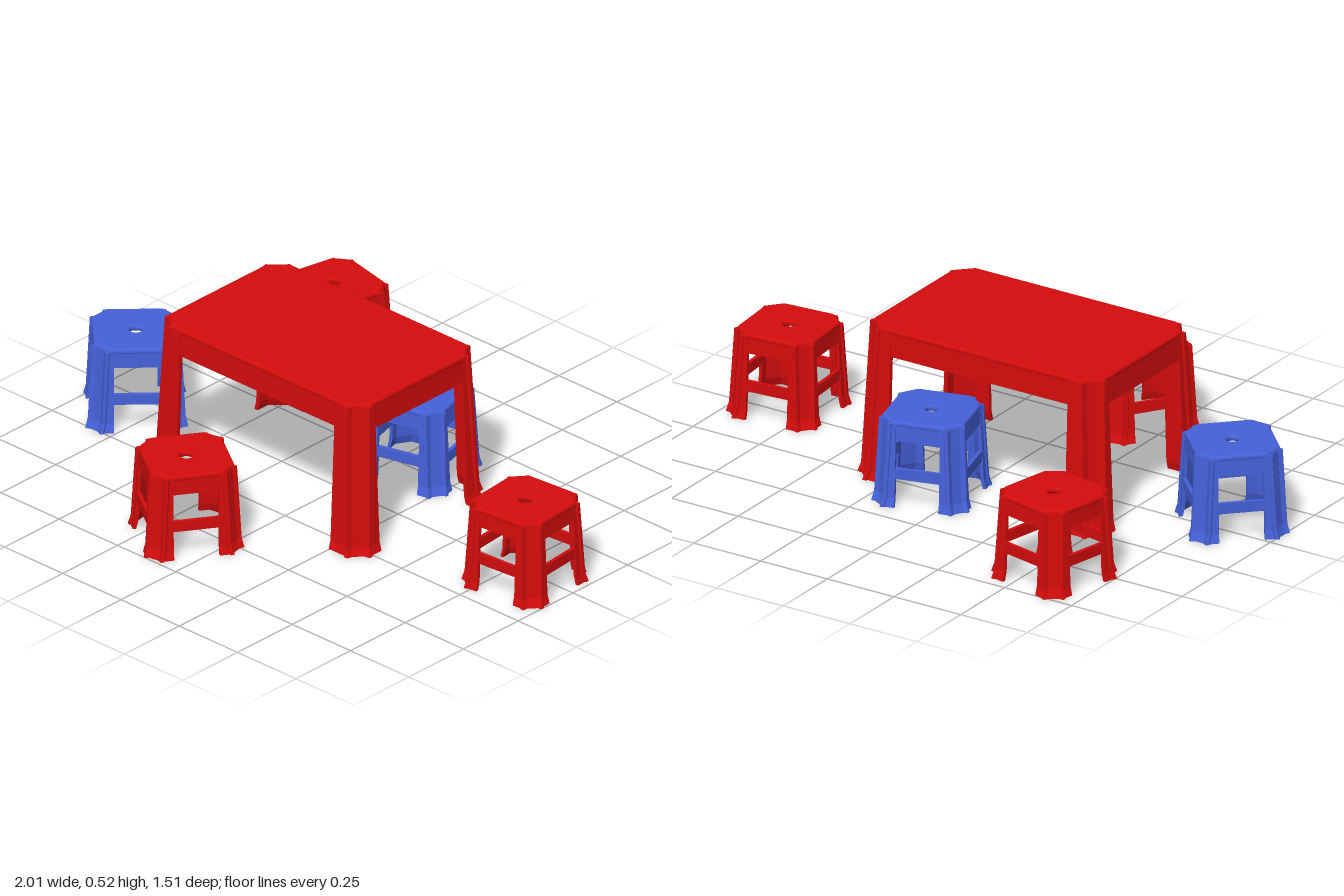
import * as THREE from 'three';

const red = new THREE.MeshStandardMaterial({ color: 0xd40c0c });
red.name = 'red plastic';
const blue = new THREE.MeshStandardMaterial({ color: 0x4561d9 });
blue.name = 'blue plastic';

const toShape = (pts) => new THREE.Shape(pts.map(([x, y]) => new THREE.Vector2(x, y)));

// Rectangle with clipped corners
function clipped(ax, az, c) {
  return [[ax, az - c], [ax - c, az], [c - ax, az], [-ax, az - c],
    [-ax, c - az], [c - ax, -az], [ax - c, -az], [ax, c - az]];
}

// Extrude a plan outline upward from y0 to y1
function rise(shape, y0, y1, steps = 1) {
  const g = new THREE.ExtrudeGeometry(shape, { depth: y1 - y0, steps, bevelEnabled: false });
  return g.rotateX(-Math.PI / 2).translate(0, y0, 0);
}

// Lean the outer faces outward towards the floor, with a small kick at the foot
function flare(g, s) {
  const p = g.attributes.position;
  for (let i = 0; i < p.count; i++) {
    const x = p.getX(i), y = p.getY(i), z = p.getZ(i);
    const out = s.flare * (1 - y / s.h) + s.kick * Math.max(0, 1 - y / 0.03);
    if (Math.abs(x) > s.ax - s.wx * 0.95) p.setX(i, x + Math.sign(x) * out);
    if (Math.abs(z) > s.az - s.wz * 0.95) p.setZ(i, z + Math.sign(z) * out);
  }
  g.computeVertexNormals();
  return g;
}

// Angle-shaped leg section with a rib at each end of the clipped corner
function legSection({ ax, az, wx, wz, c, t, rib: b }, sx, sz) {
  const pts = [
    [ax - wx, az], [ax - c - b, az], [ax - c - b * 0.6, az + b * 0.6], [ax - c + b * 0.6, az + b * 0.6],
    [ax - c + b, az - b * 1.2],
    [ax - b * 1.2, az - c + b], [ax + b * 0.6, az - c + b * 0.6], [ax + b * 0.6, az - c - b * 0.6],
    [ax, az - c - b], [ax, az - wz],
    [ax - t, az - wz], [ax - t, az - c - t * 0.6], [ax - c - t * 0.6, az - t], [ax - wx, az - t],
  ];
  return toShape(pts.map(([x, z]) => [x * sx, z * sz]));
}

// Shared moulded body: top, apron and four legs
function moulded(s, material, topName) {
  const group = new THREE.Group();
  const add = (name, g) => {
    const m = new THREE.Mesh(g, material);
    m.name = name;
    group.add(m);
    return m;
  };

  // Top plate with softened rim
  const bevel = 0.008;
  const plate = toShape(clipped(s.ax - bevel, s.az - bevel, s.c));
  if (s.hole) plate.holes.push(new THREE.Path().absarc(0, 0, s.hole + bevel, 0, Math.PI * 2, true));
  const top = new THREE.ExtrudeGeometry(plate, {
    depth: 0.004, bevelEnabled: true, bevelSize: bevel, bevelThickness: bevel, bevelSegments: 3, curveSegments: 14,
  });
  add(topName, top.rotateX(-Math.PI / 2).translate(0, s.h - 0.012, 0));

  // Apron ring under the top
  const i = 0.002;
  const ring = toShape(clipped(s.ax - i, s.az - i, s.c));
  ring.holes.push(toShape(clipped(s.ax - s.t, s.az - s.t, s.c)));
  add('apron', flare(rise(ring, s.apron, s.h - 0.01), s));

  // Legs
  for (const sx of [-1, 1]) for (const sz of [-1, 1]) {
    const name = (sz > 0 ? 'front' : 'back') + (sx > 0 ? 'Left' : 'Right') + 'Leg';
    add(name, flare(rise(legSection(s, sx, sz), 0, s.h - 0.008, Math.round(s.h / 0.015)), s));
  }
  return { group, add };
}

function makeTable() {
  const { group } = moulded({
    ax: 0.432, az: 0.275, h: 0.52, apron: 0.428, wx: 0.1, wz: 0.075, c: 0.05, t: 0.014, rib: 0.011,
    flare: 0.022, kick: 0.007,
  }, red, 'tableTop');
  group.name = 'table';
  group.position.set(-0.085, 0, 0.01);
  return group;
}

function makeStool(name, x, z, degrees, material) {
  const s = {
    ax: 0.135, az: 0.135, h: 0.287, apron: 0.222, wx: 0.062, wz: 0.062, c: 0.042, t: 0.011, rib: 0.009,
    flare: 0.014, kick: 0.006, hole: 0.02,
  };
  const { group, add } = moulded(s, material, 'seat');

  // Rails joining the legs
  for (let k = 0; k < 4; k++) {
    const g = new THREE.BoxGeometry(0.17, 0.036, 0.012).translate(0, 0.112, 0.136);
    add('rail', g.rotateY(k * Math.PI / 2));
  }
  group.name = name;
  group.position.set(x, 0, z);
  group.rotation.y = THREE.MathUtils.degToRad(degrees);
  return group;
}

export function createModel() {
  const model = new THREE.Group();
  model.name = 'tableAndStools';
  model.add(
    makeTable(),
    makeStool('backRightStool', -0.573, -0.58, -12, red),
    makeStool('frontStool', -0.14, 0.553, -34, red),
    makeStool('leftStool', 0.832, 0.04, 5, red),
    makeStool('rightStool', -0.815, 0.065, 45, blue),
    makeStool('backStool', 0.098, -0.26, 15, blue),
  );
  return model;
}
